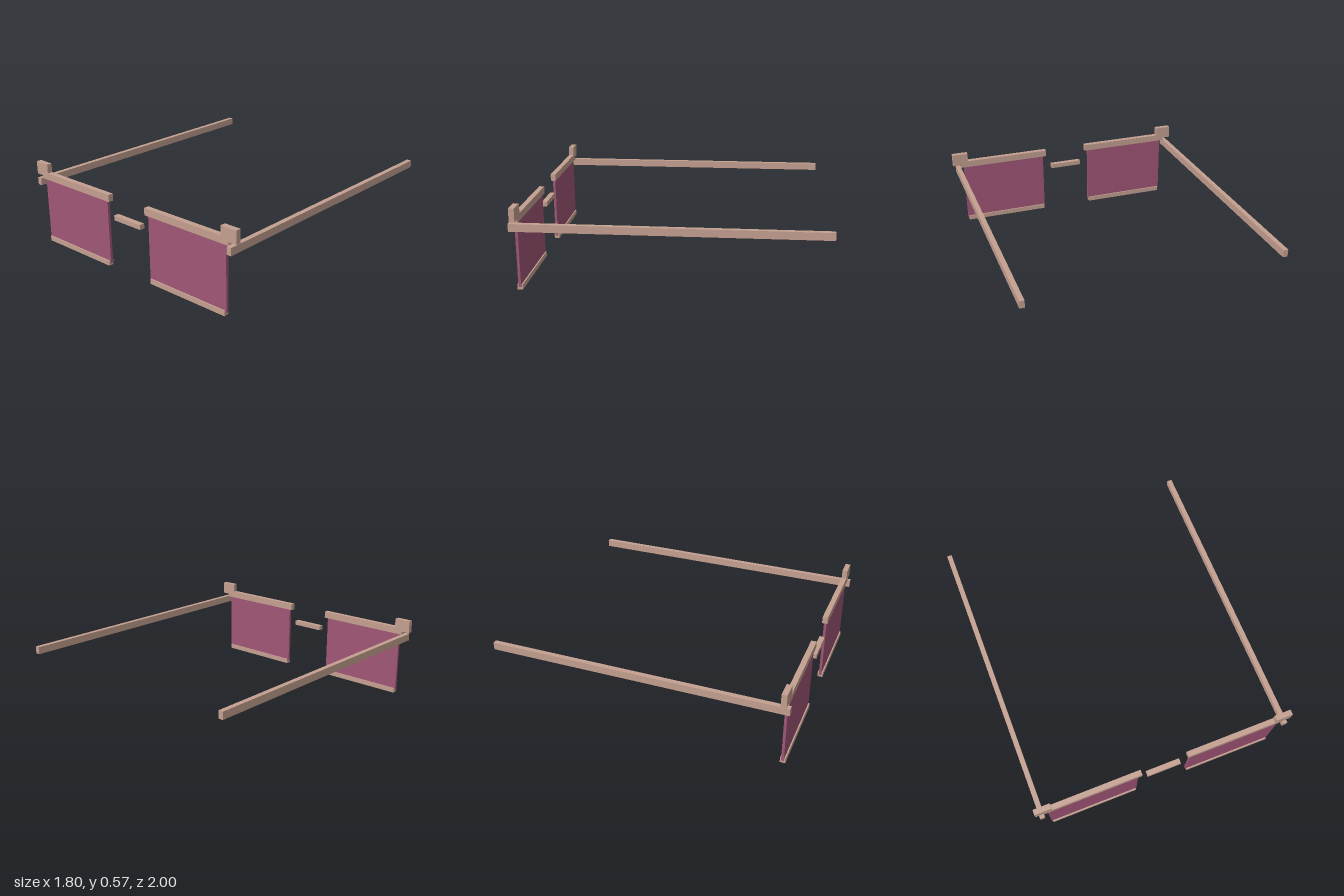
import * as THREE from 'three';

export function createModel() {
  const model = new THREE.Group();
  model.name = 'glasses';

  const frame = new THREE.MeshStandardMaterial({ color: 0xc4a090 });
  frame.name = 'rose beige frame';
  const tint = new THREE.MeshStandardMaterial({ color: 0xa05676 });
  tint.name = 'plum lens';

  // Box given by its extents on each axis
  function bar(name, material, [x0, x1], [y0, y1], [z0, z1]) {
    const mesh = new THREE.Mesh(new THREE.BoxGeometry(Math.abs(x1 - x0), y1 - y0, z1 - z0), material);
    mesh.position.set((x0 + x1) / 2, (y0 + y1) / 2, (z0 + z1) / 2);
    mesh.name = name;
    model.add(mesh);
  }

  const rimDepth = [0.947, 0.983];
  const lensDepth = [0.956, 0.974];

  for (const [side, s] of [['left', 1], ['right', -1]]) {
    const span = (a, b) => [s * a, s * b];
    bar(side + 'Lens', tint, span(0.187, 0.818), [0.02, 0.47], lensDepth);
    bar(side + 'BrowBar', frame, span(0.163, 0.842), [0.457, 0.505], rimDepth);
    bar(side + 'LowerRim', frame, span(0.194, 0.811), [0, 0.034], rimDepth);
    // Raised outer corner
    bar(side + 'Corner', frame, span(0.785, 0.9), [0.479, 0.567], rimDepth);
    // Long straight arm
    bar(side + 'Temple', frame, span(0.843, 0.876), [0.41, 0.46], [-1, 1]);
  }

  bar('bridge', frame, [-0.119, 0.119], [0.345, 0.378], rimDepth);

  return model;
}
